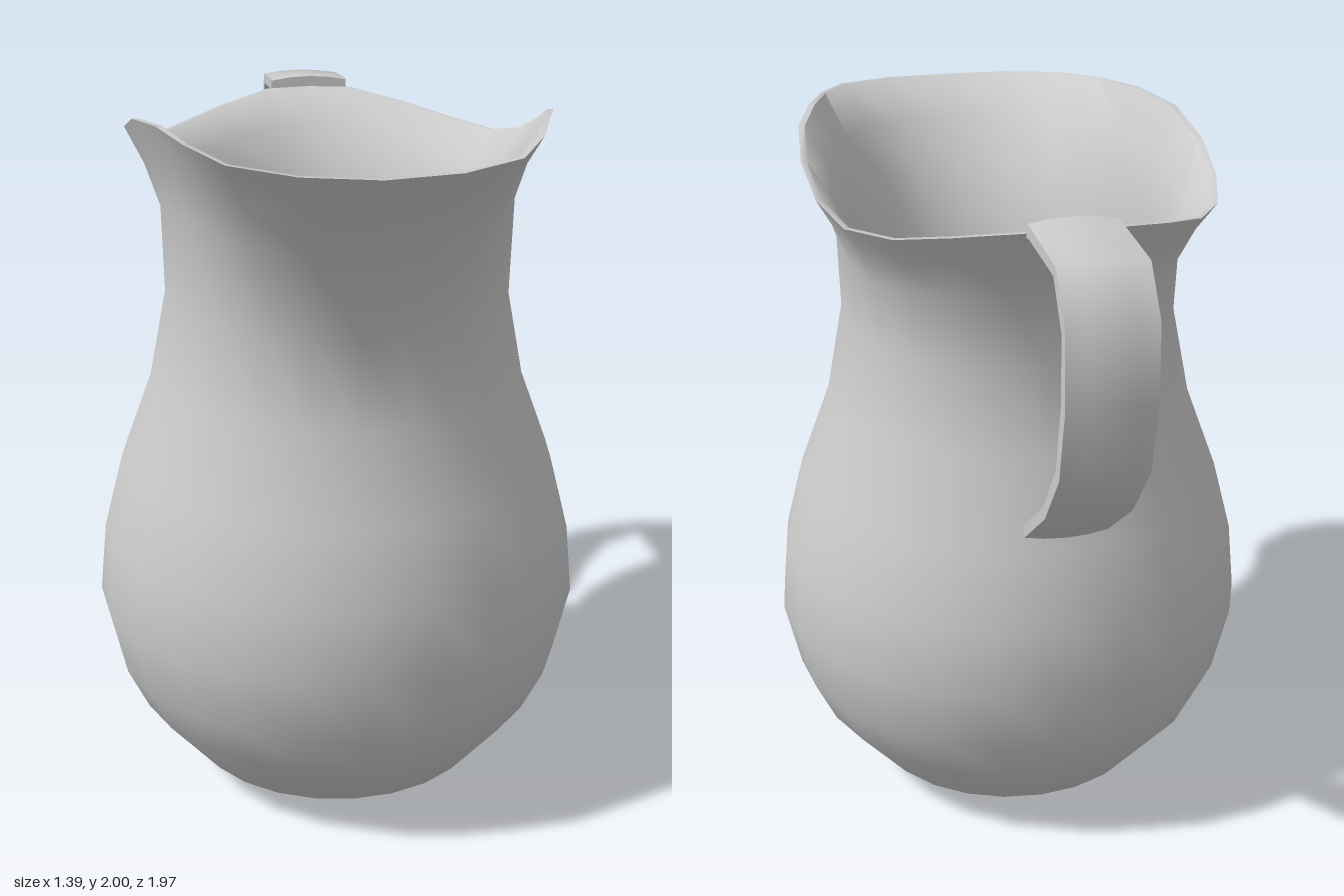
import * as THREE from 'three';
import { toCreasedNormals } from 'three/addons/utils/BufferGeometryUtils.js';

const SEG = 24;
const { lerp } = THREE.MathUtils;

// Skins a list of closed loops (equal point counts), closing both ends to their centres.
function loft(loops) {
  const n = loops[0].length;
  const centre = (loop) => {
    const c = new THREE.Vector3();
    loop.forEach((p) => c.add(p));
    c.divideScalar(n);
    return loop.map(() => c);
  };
  const rings = [centre(loops[0]), ...loops, centre(loops[loops.length - 1])];
  const pos = [], idx = [];
  rings.forEach((r) => r.forEach((p) => pos.push(p.x, p.y, p.z)));
  const last = rings.length - 2;
  for (let i = 0; i <= last; i++) {
    for (let j = 0; j < n; j++) {
      const a = i * n + j, b = i * n + (j + 1) % n, c = b + n, d = a + n;
      if (i > 0) idx.push(a, b, d);
      else idx.push(a, c, d);
      if (i > 0 && i < last) idx.push(b, c, d);
    }
  }
  const g = new THREE.BufferGeometry();
  g.setAttribute('position', new THREE.Float32BufferAttribute(pos, 3));
  g.setIndex(idx);
  return toCreasedNormals(g, THREE.MathUtils.degToRad(55));
}

// Bowl and neck: [height, half width, front z, back z]
const BODY = [
  [0, 0.33, 0.40, -0.23], [0.065, 0.43, 0.525, -0.335], [0.25, 0.59, 0.675, -0.49],
  [0.375, 0.65, 0.74, -0.55], [0.57, 0.695, 0.785, -0.597], [0.77, 0.675, 0.77, -0.585],
  [0.98, 0.62, 0.72, -0.53], [1.22, 0.53, 0.625, -0.44], [1.47, 0.48, 0.625, -0.39],
];

// Half of the rim, from the spout tip round to the handle: [x, y, z]
const RIM = [
  [0, 1.96, 0.98], [0.19, 1.965, 0.95], [0.35, 1.975, 0.85], [0.44, 1.99, 0.67],
  [0.50, 2.0, 0.48], [0.555, 1.985, 0.29], [0.575, 1.93, 0.10], [0.56, 1.87, -0.07],
  [0.51, 1.835, -0.23], [0.41, 1.845, -0.385], [0.28, 1.875, -0.50], [0.13, 1.905, -0.60],
  [0, 1.91, -0.612],
];

function bodyRing([y, rx, zf, zb]) {
  const cz = 0.095;
  return Array.from({ length: SEG }, (_, j) => {
    const t = (j / SEG) * Math.PI * 2, c = Math.cos(t);
    return new THREE.Vector3(rx * Math.sin(t), y, cz + c * (c > 0 ? zf - cz : cz - zb));
  });
}

function rimRing() {
  return Array.from({ length: SEG }, (_, j) => {
    const [x, y, z] = RIM[j <= SEG / 2 ? j : SEG - j];
    return new THREE.Vector3(j <= SEG / 2 ? x : -x, y, z);
  });
}

// Flare between neck and rim; the spread differs at the side, front and back.
function flareRing(neck, rim, up, side, front, back) {
  return neck.map((p, j) => {
    const c = Math.cos((j / SEG) * Math.PI * 2);
    const f = lerp(side, c > 0 ? front : back, c * c);
    return new THREE.Vector3(lerp(p.x, rim[j].x, f), lerp(p.y, rim[j].y, up), lerp(p.z, rim[j].z, f));
  });
}

// Moves a ring towards its axis to make the inner wall.
function inset(ring, d) {
  const cz = (ring[0].z + ring[SEG / 2].z) / 2;
  return ring.map((p) => {
    const r = Math.hypot(p.x, p.z - cz), k = (r - d) / r;
    return new THREE.Vector3(p.x * k, p.y, cz + (p.z - cz) * k);
  });
}

function jugGeometry() {
  const outer = BODY.map(bodyRing), rim = rimRing();
  const neck = outer[outer.length - 1];
  outer.push(flareRing(neck, rim, 0.52, 0.05, 0.45, 0.32));
  outer.push(flareRing(neck, rim, 0.78, 0.47, 0.72, 0.66));
  outer.push(rim);
  const inner = outer.map((r, i) => inset(r, i === outer.length - 1 ? 0.018 : 0.03));
  // raise the inside floor above the base
  inner[0].forEach((p) => { p.y = 0.03; });
  inner[1].forEach((p) => { p.y = 0.085; });
  return loft([...outer, ...inner.reverse()]);
}

// Flat strap handle: [outer z, outer y, inner z, inner y] from the rim down
const STRAP = [
  [-0.60, 1.935, -0.60, 1.90], [-0.625, 1.937, -0.625, 1.903], [-0.88, 1.912, -0.86, 1.885],
  [-0.972, 1.79, -0.94, 1.77], [-0.982, 1.585, -0.945, 1.59], [-0.935, 1.385, -0.902, 1.40],
  [-0.80, 1.22, -0.78, 1.245], [-0.59, 1.065, -0.572, 1.09],
];

function handleGeometry() {
  const xs = [-0.115, -0.06, 0, 0.06, 0.115];
  return loft(STRAP.map(([oz, oy, iz, iy]) => {
    const n = new THREE.Vector2(oz - iz, oy - iy).normalize();
    const row = (z, y) => xs.map((x) => {
      const bulge = 0.012 * (0.5 - (x / 0.115) ** 2); // slightly domed across
      return new THREE.Vector3(x, y + n.y * bulge, z + n.x * bulge);
    });
    return [...row(oz, oy), ...row(iz, iy).reverse()];
  }));
}

export function createModel() {
  const group = new THREE.Group();
  group.name = 'pitcher';
  const material = new THREE.MeshStandardMaterial({ color: 0xcccccc });
  const add = (name, geometry) => {
    const mesh = new THREE.Mesh(geometry, material);
    mesh.name = name;
    group.add(mesh);
  };
  add('jugBody', jugGeometry());
  add('handle', handleGeometry());
  return group;
}
